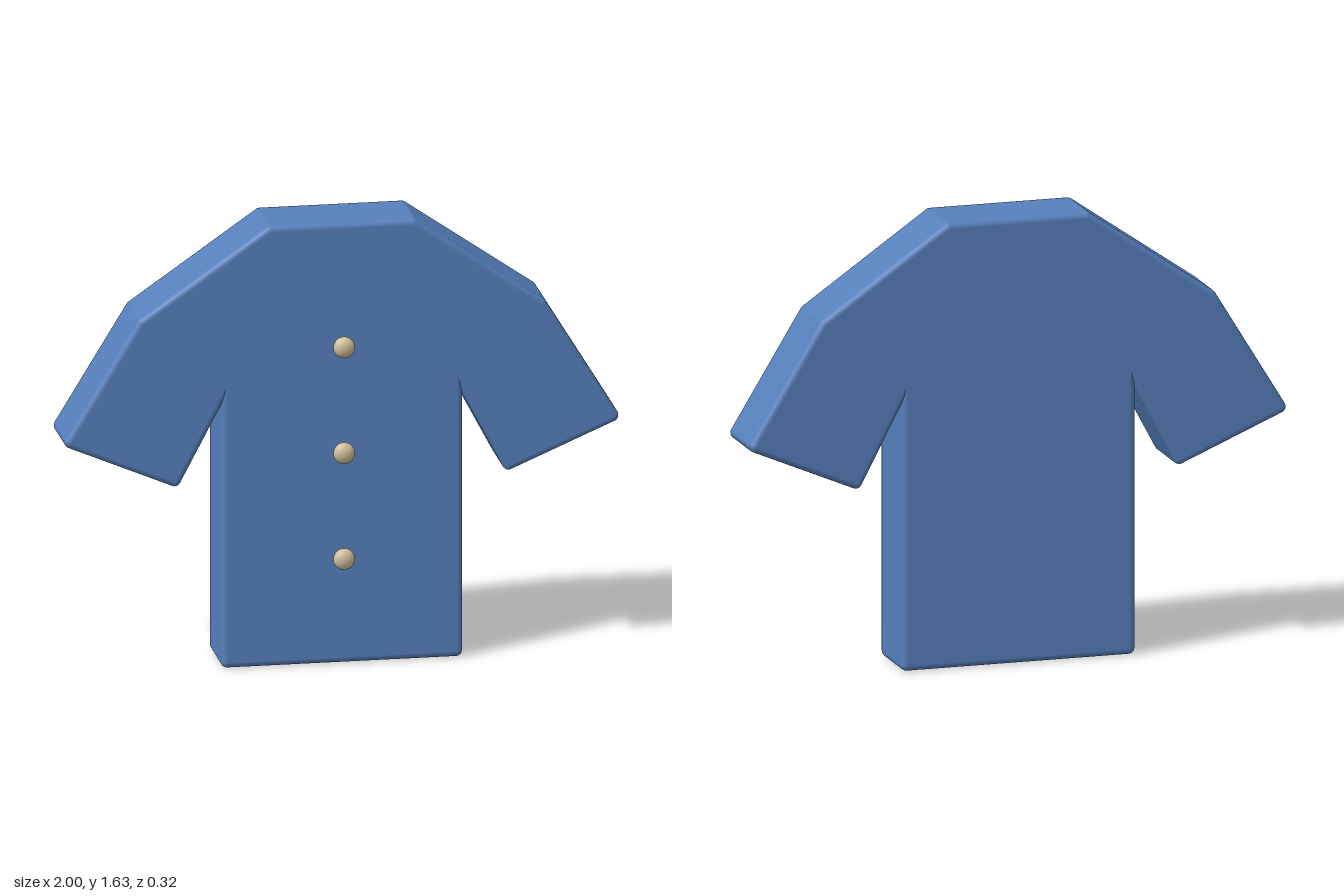
import * as THREE from 'three';

const fabric = new THREE.MeshStandardMaterial({ color: 0x5680bc });
fabric.name = 'blue fabric';
const beige = new THREE.MeshStandardMaterial({ color: 0xd0c09a });
beige.name = 'beige button';

const EDGE = 0.022;   // radius of the rounded edges
const FRONT = 0.1;
const BACK = -0.16;

// Slab over a counter-clockwise outline, with every outer edge rounded by radius r
function roundedSlab(core, r, front, back) {
  const positions = [], normals = [], index = [];
  const cornerSteps = 4, edgeSteps = 4;
  const n = core.length;
  const edgeNormal = (i) => {
    const a = core[i % n], b = core[(i + 1) % n];
    return new THREE.Vector2(b.y - a.y, a.x - b.x).normalize();
  };

  // Samples around the outline: base point, shading direction and offset direction
  const samples = [];
  core.forEach((p, i) => {
    const n1 = edgeNormal(i + n - 1), n2 = edgeNormal(i);
    const convex = n1.cross(n2) > 0;
    const miter = n1.clone().add(n2).divideScalar(1 + n1.dot(n2));
    for (let k = 0; k <= cornerSteps; k++) {
      if (!convex && k > 0 && k < cornerSteps) continue;
      const dir = n1.clone().lerp(n2, k / cornerSteps).normalize();
      samples.push({ p, dir, off: convex ? dir : miter });
    }
  });

  // Rings from the front face round to the back face
  const rings = [];
  for (let k = 0; k <= edgeSteps; k++) rings.push([k / edgeSteps * Math.PI / 2, front - r]);
  for (let k = 0; k <= edgeSteps; k++) rings.push([(1 + k / edgeSteps) * Math.PI / 2, back + r]);
  const m = samples.length;
  rings.forEach(([t, z], j) => {
    const s = Math.sin(t), c = Math.cos(t);
    samples.forEach(({ p, dir, off }, i) => {
      positions.push(p.x + off.x * r * s, p.y + off.y * r * s, z + r * c);
      normals.push(dir.x * s, dir.y * s, c);
      if (j === 0) return;
      const i2 = (i + 1) % m, a = (j - 1) * m, b = j * m;
      index.push(a + i, b + i, b + i2, a + i, b + i2, a + i2);
    });
  });

  // Flat front and back faces
  const faces = THREE.ShapeUtils.triangulateShape(core, []);
  for (const [z, side] of [[front, 1], [back, -1]]) {
    const start = positions.length / 3;
    for (const p of core) {
      positions.push(p.x, p.y, z);
      normals.push(0, 0, side);
    }
    for (const [a, b, c] of faces) {
      const tri = side > 0 ? [a, b, c] : [a, c, b];
      index.push(...tri.map((v) => v + start));
    }
  }

  const geometry = new THREE.BufferGeometry();
  geometry.setAttribute('position', new THREE.Float32BufferAttribute(positions, 3));
  geometry.setAttribute('normal', new THREE.Float32BufferAttribute(normals, 3));
  geometry.setIndex(index);
  return geometry;
}

export function createModel() {
  const model = new THREE.Group();
  model.name = 'shirt';

  // Shirt outline: hem, armpit, cuff, shoulder and neck, mirrored
  const half = [
    [0.413, EDGE], [0.413, 1.06], [0.602, 0.702],
    [0.977, 0.862], [0.717, 1.287], [0.256, 1.607],
  ].map(([x, y]) => new THREE.Vector2(x, y));
  const mirrored = half.map((p) => new THREE.Vector2(-p.x, p.y)).reverse();
  const shirt = new THREE.Mesh(roundedSlab([...half, ...mirrored], EDGE, FRONT, BACK), fabric);
  shirt.name = 'shirtBody';
  model.add(shirt);

  // Row of flattened buttons down the front
  const buttonGeometry = new THREE.SphereGeometry(0.039, 20, 14);
  buttonGeometry.scale(1, 1, 0.72);
  [1.178, 0.787, 0.395].forEach((y, i) => {
    const button = new THREE.Mesh(buttonGeometry, beige);
    button.name = 'button' + (i + 1);
    button.position.set(0, y, 0.133);
    model.add(button);
  });

  return model;
}
